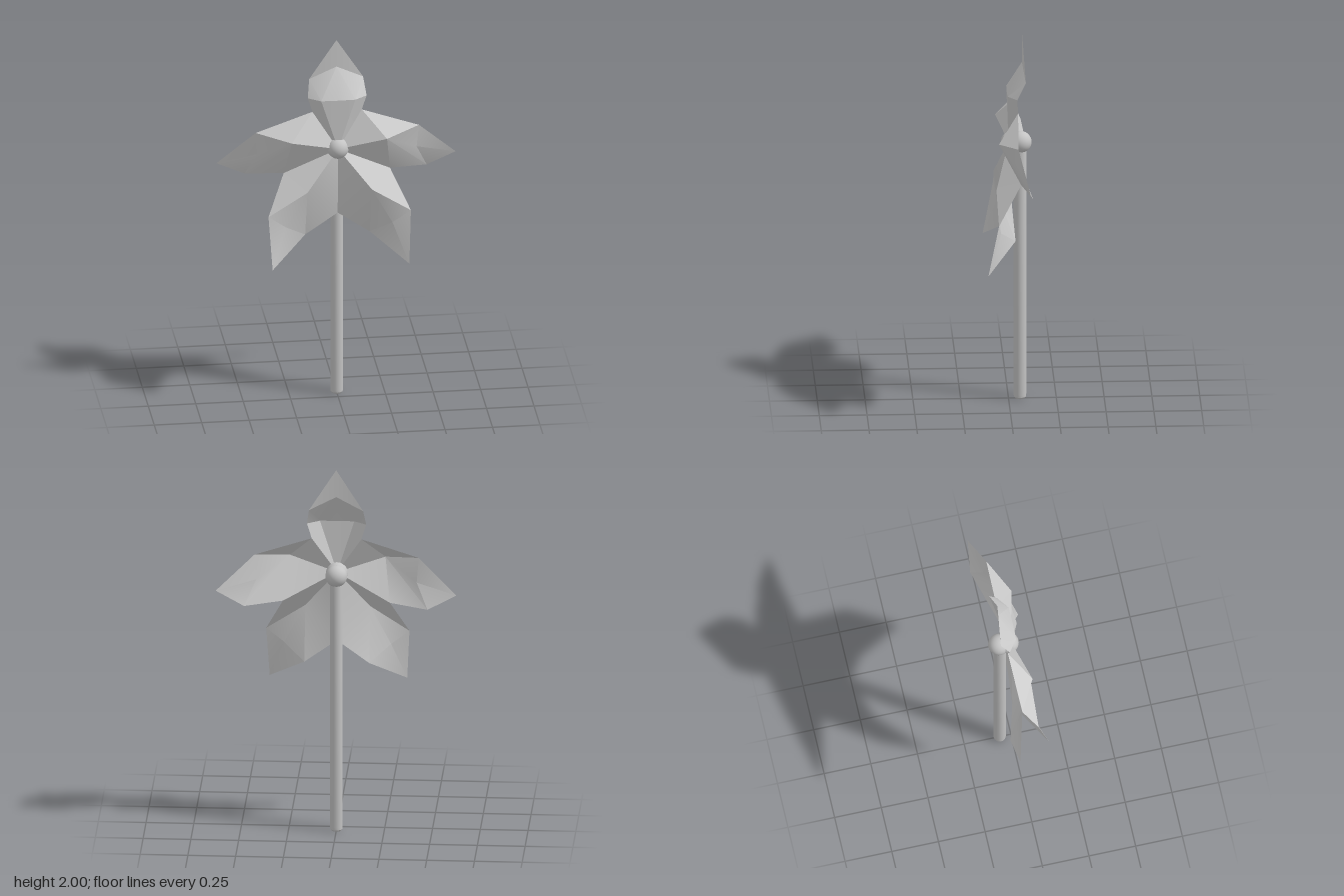
import * as THREE from 'three';
import { toCreasedNormals } from 'three/addons/utils/BufferGeometryUtils.js';

const hub = [0, 1.41, 0];
// valleys where neighbouring petals meet
const upperValley = [0.13, 1.61, -0.045];
const sideValley = [0.28, 1.265, -0.055];
const lowerValley = [0, 1.04, -0.02];

// outline: valley, shoulder, tip, shoulder, valley (clockwise); ridge and mid lie inside
function foldedPetal(va, sa, tip, sb, vb, ridge, mid) {
  return [
    [hub, ridge, va], [va, ridge, sa], [sa, ridge, mid], [sa, mid, tip],
    [tip, mid, sb], [sb, mid, ridge], [sb, ridge, vb], [vb, ridge, hub],
  ];
}

const mirrorTriangles = (tris) =>
  tris.map(([a, b, c]) => [a, c, b].map(([x, y, z]) => [-x, y, z]));

function sheet(tris, name, material) {
  const geometry = new THREE.BufferGeometry();
  geometry.setAttribute('position', new THREE.Float32BufferAttribute(tris.flat(2), 3));
  const mesh = new THREE.Mesh(toCreasedNormals(geometry, 0.45), material);
  mesh.name = name;
  return mesh;
}

export function createModel() {
  const group = new THREE.Group();
  group.name = 'pinwheel';
  const petalGrey = new THREE.MeshStandardMaterial({ color: 0xcccccc, side: THREE.DoubleSide });
  petalGrey.name = 'petal grey';
  const stickGrey = new THREE.MeshStandardMaterial({ color: 0xc4c4c4 });
  stickGrey.name = 'stick grey';

  // side and lower petals, mirrored
  const side = foldedPetal(upperValley, [0.43, 1.51, -0.035], [0.63, 1.325, -0.09],
    [0.48, 1.25, -0.11], sideValley, [0.25, 1.48, 0.06], [0.42, 1.38, -0.055]);
  const lower = foldedPetal(sideValley, [0.375, 1.07, 0.065], [0.36, 0.79, 0.12],
    [0.17, 0.92, -0.03], lowerValley, [0.17, 1.2, 0.07], [0.28, 1.0, 0.05]);
  for (const [name, tris] of [['SidePetal', side], ['LowerPetal', lower]]) {
    group.add(sheet(tris, 'left' + name, petalGrey));
    group.add(sheet(mirrorTriangles(tris), 'right' + name, petalGrey));
  }

  // top petal: flat front fold, bent back towards the tip
  const fold = [0, 1.69, 0.01], foldEnd = [0.09, 1.69, 0.008];
  const wide = [0.155, 1.69, -0.04], shoulder = [0.142, 1.78, -0.085];
  const mid = [0, 1.85, -0.07], tip = [0, 2, -0.072];
  const half = [
    [hub, foldEnd, fold], [hub, upperValley, foldEnd], [upperValley, wide, foldEnd],
    [wide, shoulder, foldEnd], [foldEnd, shoulder, mid], [foldEnd, mid, fold],
    [shoulder, tip, mid],
  ];
  group.add(sheet([...half, ...mirrorTriangles(half)], 'topPetal', petalGrey));

  // stick with a bevelled foot
  const profile = [[0, 0], [0.024, 0], [0.032, 0.01], [0.033, 0.025], [0.033, 1.41]]
    .map(([x, y]) => new THREE.Vector2(x, y));
  const stick = new THREE.Mesh(toCreasedNormals(new THREE.LatheGeometry(profile, 16), 0.6), stickGrey);
  stick.name = 'stick';
  stick.position.z = -0.06;
  group.add(stick);

  // front and back hub balls
  for (const [name, z] of [['frontHub', -0.016], ['backHub', -0.064]]) {
    const ball = new THREE.Mesh(new THREE.SphereGeometry(0.057, 24, 16), stickGrey);
    ball.name = name;
    ball.position.set(0, 1.41, z);
    group.add(ball);
  }

  // winding faces the front: outward normals point to +z
  for (const mesh of group.children) {
    if (/^(left|right)/.test(mesh.name)) mesh.castShadow = false;
  }
  return group;
}
